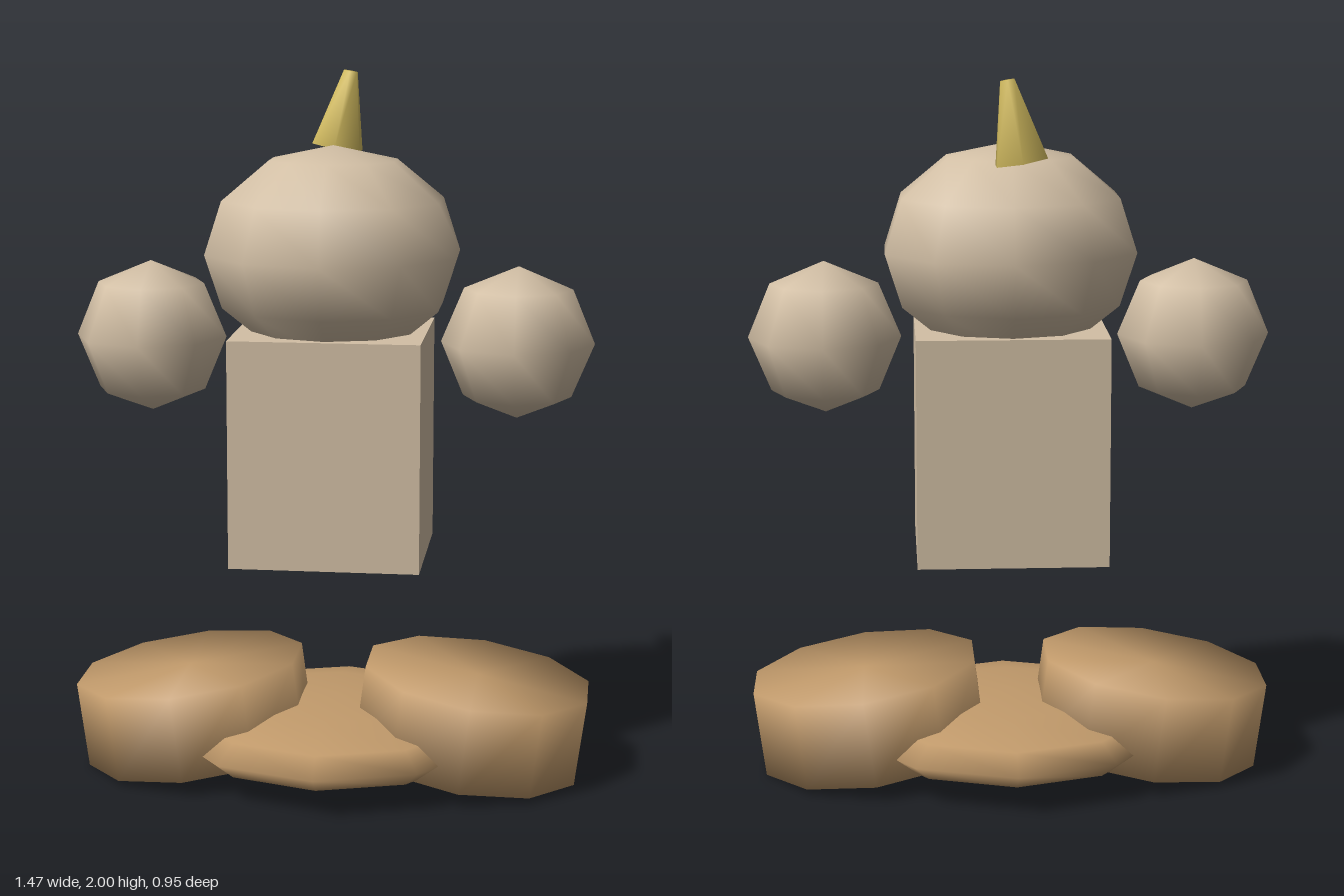
import * as THREE from 'three';
import { mergeVertices } from 'three/addons/utils/BufferGeometryUtils.js';

const material = (name, color) => {
  const m = new THREE.MeshStandardMaterial({ color });
  m.name = name;
  return m;
};

// Low-poly ball with a corner facing the front, stretched to the given radii
function ball(rx, ry, rz, sides, rings) {
  return new THREE.SphereGeometry(1, sides, rings).rotateY(Math.PI / 2).scale(rx, ry, rz);
}

// Cylinder whose normals blend softly over its rims
function softCylinder(top, bottom, height, sides) {
  const g = new THREE.CylinderGeometry(top, bottom, height, sides);
  g.deleteAttribute('normal');
  g.deleteAttribute('uv');
  const merged = mergeVertices(g, 1e-4);
  merged.computeVertexNormals();
  return merged;
}

export function createModel() {
  const model = new THREE.Group();
  model.name = 'figure';
  const skin = material('pale tan', 0xd2bfa5);
  const leather = material('brown tan', 0xc19a6b);
  const gold = material('gold', 0xdcc464);

  const add = (name, geometry, mat, x, y, z, tilt = 0) => {
    const mesh = new THREE.Mesh(geometry, mat);
    mesh.name = name;
    mesh.position.set(x, y, z);
    mesh.rotation.z = tilt;
    model.add(mesh);
  };

  // Body and head
  add('torso', new THREE.BoxGeometry(0.535, 0.645, 0.47), skin, 0, 0.97, 0);
  add('head', ball(0.367, 0.3, 0.335, 10, 6), skin, 0, 1.51, 0);

  // Leaning horn behind the crown
  add('horn', softCylinder(0.022, 0.08, 0.22, 6), gold, 0, 1.89, -0.26, -0.175);

  // Flat base between the feet
  add('base', ball(0.476, 0.1, 0.476, 10, 6), leather, 0, 0.12, 0);

  // Mirrored hands and feet
  for (const [side, s] of [['left', 1], ['right', -1]]) {
    add(side + 'Hand', ball(0.215, 0.215, 0.215, 8, 4), skin, s * 0.52, 1.265, 0);
    add(side + 'Foot', softCylinder(0.335, 0.335, 0.247, 10), leather, s * 0.405, 0.17, 0, -s * 0.134);
  }
  return model;
}
